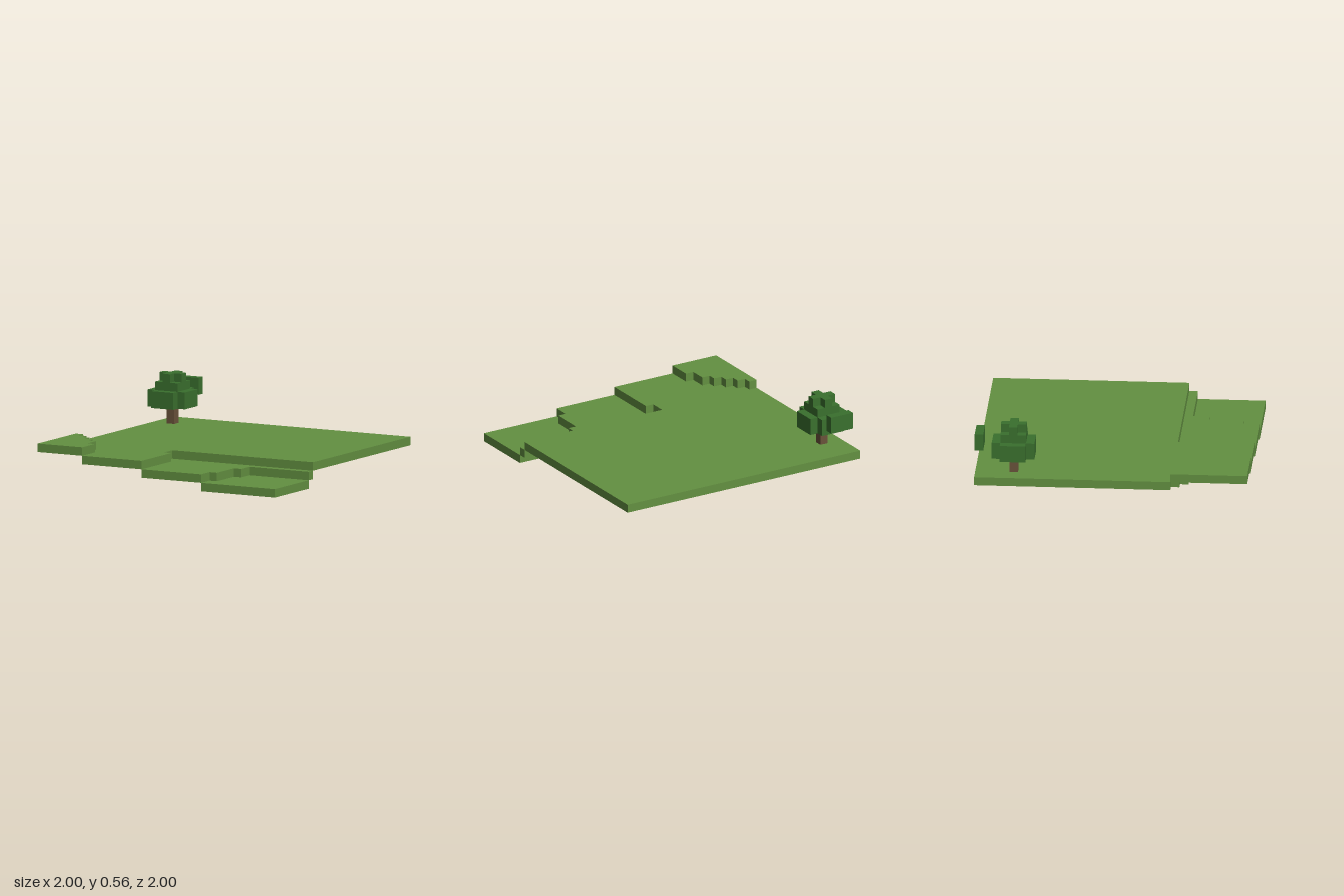
import * as THREE from 'three';

const V = 1 / 16; // size of one block

const mat = (name, color) => {
  const m = new THREE.MeshStandardMaterial({ color });
  m.name = name;
  return m;
};

// Outline from [x, z] block corners
const points = (list) => list.map(([x, z]) => new THREE.Vector2(x * V, -z * V));

// Flat slab from a block outline, between block heights y0 and y1
function slab(name, outline, y0, y1, material, hole) {
  const shape = new THREE.Shape(points(outline));
  if (hole) shape.holes.push(new THREE.Path(points(hole)));
  const geo = new THREE.ExtrudeGeometry(shape, { depth: (y1 - y0) * V, bevelEnabled: false });
  geo.rotateX(-Math.PI / 2).translate(0, y0 * V, 0);
  const mesh = new THREE.Mesh(geo, material);
  mesh.name = name;
  return mesh;
}

const rect = (x0, z0, x1, z1) => [[x0, z0], [x1, z0], [x1, z1], [x0, z1]];

// Plus-shaped outline: arm half width w, reach r
const plus = (cx, cz, w, r) => [
  [-w, -r], [w, -r], [w, -w], [r, -w], [r, w], [w, w],
  [w, r], [-w, r], [-w, w], [-r, w], [-r, -w], [-w, -w],
].map(([x, z]) => [cx + x, cz + z]);

export function createModel() {
  const grass = mat('grass green', 0x639041);
  const leaf = mat('leaf green', 0x3a702e);
  const bark = mat('bark brown', 0x69523a);

  // Stepped borders shared by neighbouring terraces
  const hillEdge = [
    [-10, 16], [-10, 13], [-11, 13], [-11, 11], [-12, 11], [-12, 10], [-13, 10],
    [-13, 9], [-14, 9], [-14, 8], [-15, 8], [-15, 7], [-16, 7],
  ];
  const midEdge = [[16, 7], [-3, 7], [-3, 9], [-2, 9], [-2, 16]];
  const lowEdge = [[16, 8], [8, 8], [8, 10], [7, 10], [7, 14], [6, 14], [6, 16]];
  const trunkArea = rect(-14, -12, -13, -11);

  // Terraces, each one block thick
  const ground = new THREE.Group();
  ground.name = 'ground';
  ground.add(
    slab('hillTerrace', [...hillEdge, [-16, 16]], 3, 4, grass),
    slab('mainTerrace', [[-16, -16], [16, -16], ...midEdge, ...hillEdge], 2, 3, grass, trunkArea),
    slab('middleTerrace', [...midEdge, ...[...lowEdge].reverse()], 1, 2, grass),
    slab('lowTerrace', [...lowEdge, [16, 16]], 0, 1, grass),
  );

  // Tree, rooted through the main terrace
  const cx = -13.5, cz = -11.5;
  const tree = new THREE.Group();
  tree.name = 'tree';
  tree.add(
    slab('trunk', trunkArea, 2, 5, bark),
    slab('lowerLeaves', plus(cx, cz, 1.5, 2.5), 5, 7, leaf),
    slab('upperLeaves', rect(-15, -13, -12, -10), 7, 8, leaf),
    slab('topLeaves', plus(cx, cz, 0.5, 1.5), 8, 9, leaf),
  );

  // Loose leaves at the back edge
  const edgeLeaves = slab('edgeLeaves', rect(-15, -16, -12, -15), 6, 8, leaf);

  const model = new THREE.Group();
  model.name = 'terrainTile';
  model.add(ground, tree, edgeLeaves);
  return model;
}
